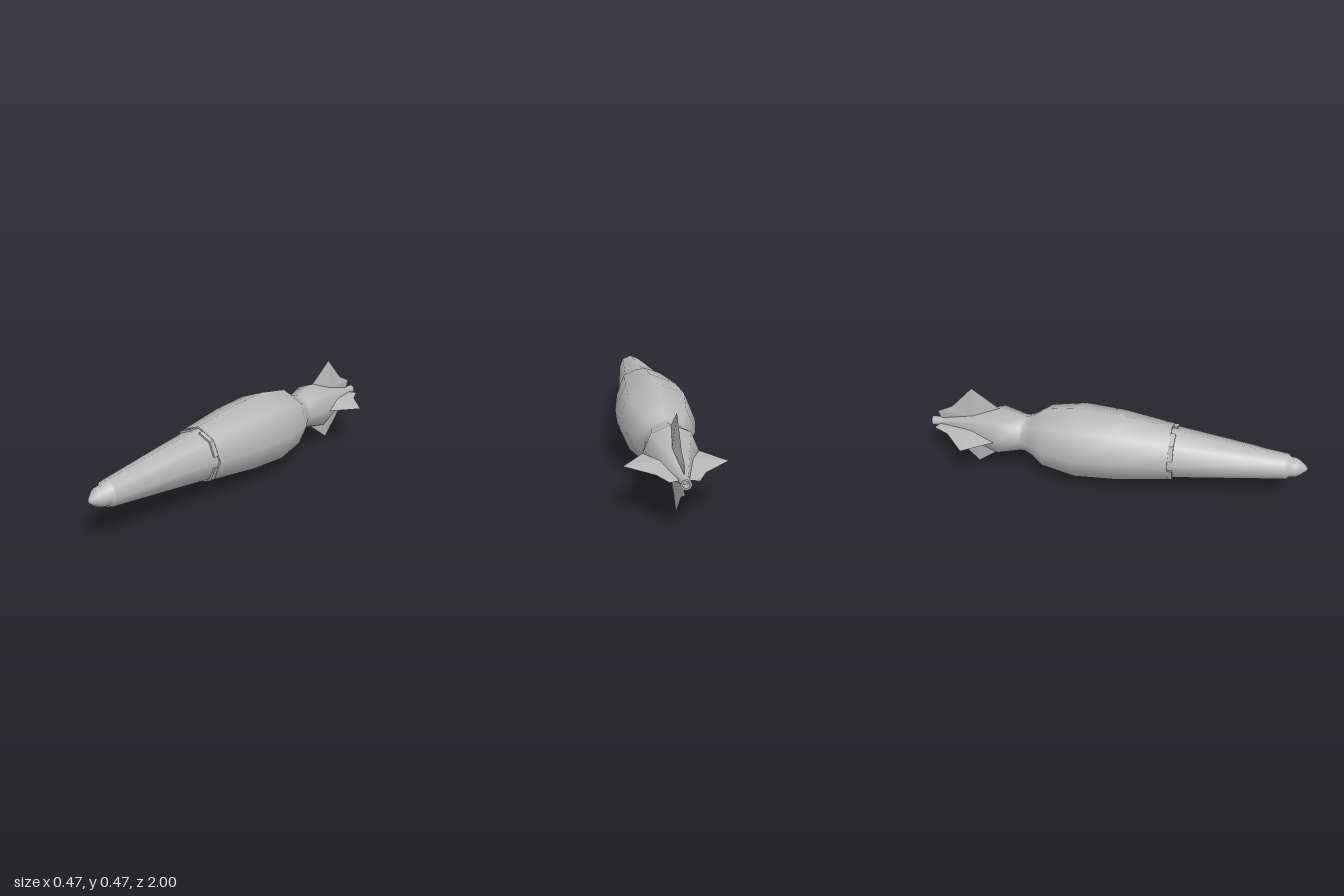
import * as THREE from 'three';
import { toCreasedNormals } from 'three/addons/utils/BufferGeometryUtils.js';

const SIDES = 8;
const AXIS_Y = 0.236;

// Eight-sided turned part along z; profile is [z, radius] from back to front
function turned(profile) {
  const pts = profile.map(([z, r]) => new THREE.Vector2(r, z));
  return new THREE.LatheGeometry(pts, SIDES).rotateX(Math.PI / 2);
}

// Quarter of an octagonal ring, stopping short of the axes to leave notches
function collarQuarter(rOut, rIn, notch) {
  const slope = Math.SQRT1_2 / (1 - Math.SQRT1_2);
  const corner = (r) => [r * Math.SQRT1_2, r * Math.SQRT1_2];
  const edge = (r) => r - notch / slope;
  const pts = [
    [edge(rOut), notch], corner(rOut), [notch, edge(rOut)],
    [notch, edge(rIn)], corner(rIn), [edge(rIn), notch],
  ].map(([x, y]) => new THREE.Vector2(x, y));
  return new THREE.ExtrudeGeometry(new THREE.Shape(pts), { depth: 0.035, bevelEnabled: false });
}

// Fin pointing +y: thick at the root, tapering to a sharp outline
function finGeometry() {
  const outline = [[-0.61, 0.125], [-0.76, 0.235], [-0.88, 0.107], [-0.967, 0.064], [-0.95, 0.015], [-0.76, 0.03]];
  const pos = [];
  for (const s of [1, -1]) {
    outline.forEach(([z, y], i) => {
      const [z2, y2] = outline[(i + 1) % outline.length];
      const a = [0, y, z], b = [0, y2, z2];
      pos.push(s * 0.02, 0.07, -0.76, ...(s > 0 ? b : a), ...(s > 0 ? a : b));
    });
  }
  const g = new THREE.BufferGeometry();
  g.setAttribute('position', new THREE.Float32BufferAttribute(pos, 3));
  g.computeVertexNormals();
  return g;
}

export function createModel() {
  const group = new THREE.Group();
  const casing = new THREE.MeshStandardMaterial({ color: 0xb8b8b8, side: THREE.DoubleSide });
  casing.name = 'grey casing';

  const add = (name, geometry, turn = 0) => {
    const mesh = new THREE.Mesh(geometry, casing);
    mesh.name = name;
    mesh.position.y = AXIS_Y;
    mesh.rotation.z = turn;
    group.add(mesh);
  };

  // Main body with narrow waist and tapering tail
  add('body', turned([
    [-0.95, 0.022], [-0.615, 0.13], [-0.49, 0.099], [-0.465, 0.1], [-0.43, 0.116],
    [-0.36, 0.165], [-0.18, 0.198], [0.03, 0.186], [0.3, 0.148],
  ]));

  // Flat shoulder where the nose cone enters the body
  add('shoulder', turned([[0.3, 0.148], [0.3, 0.125]]));

  // Long nose cone
  add('noseCone', turned([[0.28, 0.141], [0.875, 0.068]]));

  // Stepped fuse at the tip
  add('noseFuse', toCreasedNormals(turned([
    [0.875, 0.068], [0.893, 0.066], [0.905, 0.053], [0.935, 0.05],
    [0.955, 0.039], [0.983, 0.016], [0.995, 0],
  ]), 1.0));

  // Hollow tail tube
  add('tailTube', toCreasedNormals(turned([
    [-0.96, 0], [-0.96, 0.016], [-1, 0.016], [-1, 0.025], [-0.93, 0.025],
  ]), 1.0));

  // Four collar segments and four fins around the axis
  const collar = collarQuarter(0.146, 0.125, 0.03).translate(0, 0, 0.29);
  const fin = finGeometry();
  for (let i = 0; i < 4; i++) {
    add('collarSegment', collar, i * Math.PI / 2);
    add('fin', fin, i * Math.PI / 2);
  }
  return group;
}
